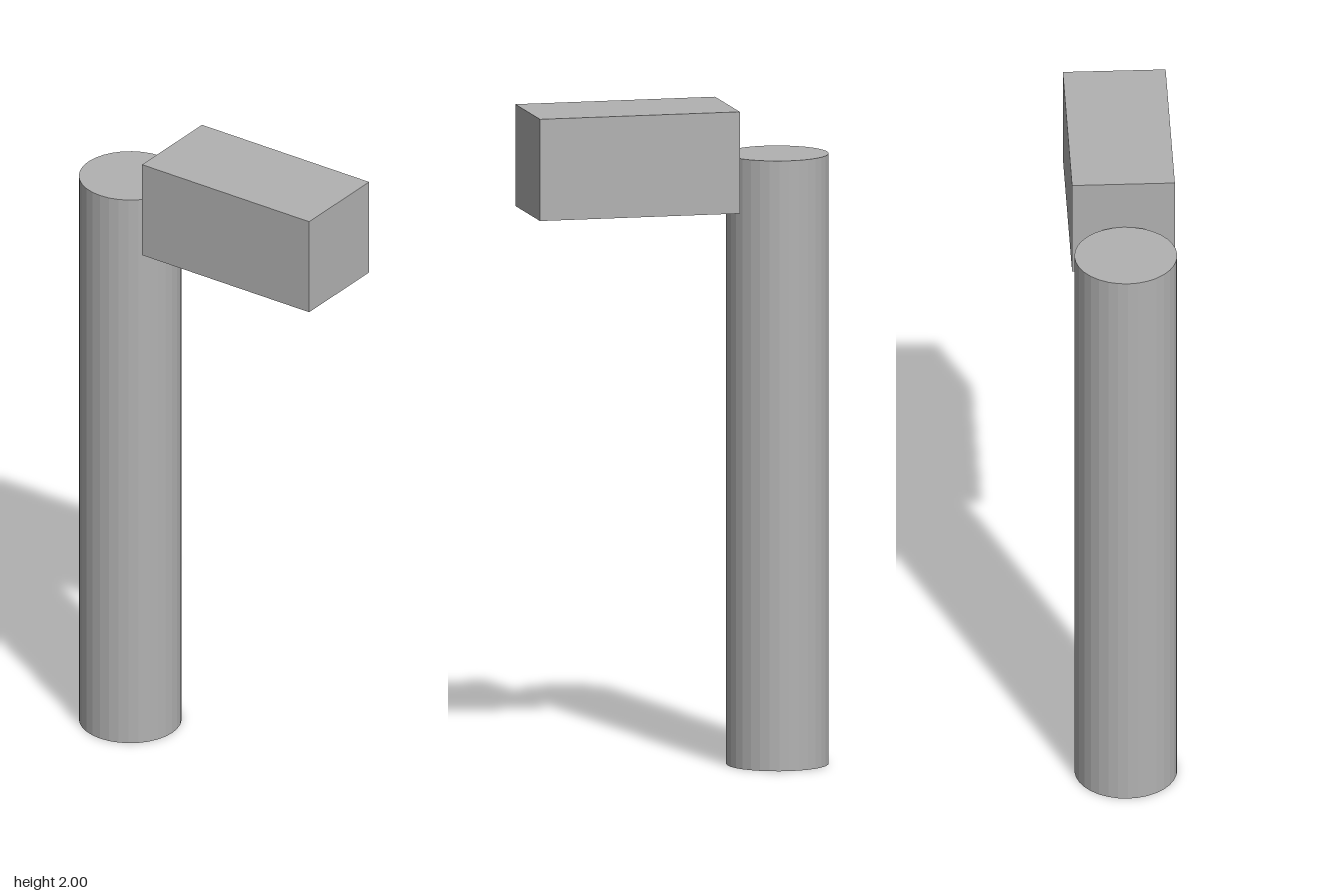
import * as THREE from 'three';

export function createModel() {
  const group = new THREE.Group();
  const grey = new THREE.MeshStandardMaterial({ color: 0xb2b2b2, flatShading: true });
  grey.name = 'grey';

  // Proportions follow one unit: the post radius
  const u = 2 / 13;

  function add(name, geometry, x, y) {
    const mesh = new THREE.Mesh(geometry, grey);
    mesh.name = name;
    mesh.position.set(x, y, 0);
    group.add(mesh);
  }

  // Upright round post
  add('post', new THREE.CylinderGeometry(u, u, 12 * u, 32), -2 * u, 6 * u);

  // Block head touching the side of the post near its top
  add('head', new THREE.BoxGeometry(4 * u, 2 * u, 2 * u), u, 12 * u);

  return group;
}
